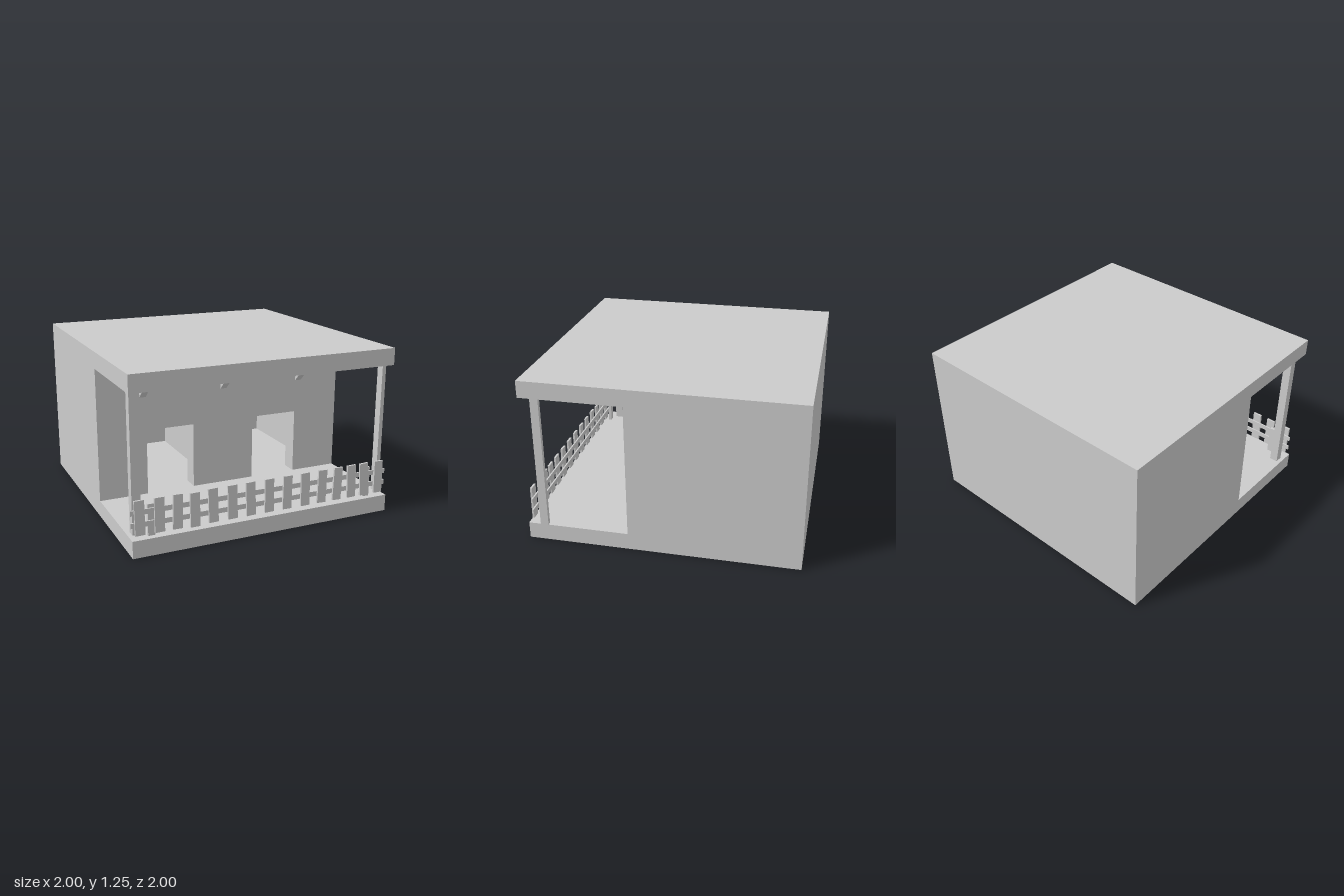
import * as THREE from 'three';

export function createModel() {
  const model = new THREE.Group();
  const material = new THREE.MeshStandardMaterial({ color: 0xcccccc, flatShading: true });

  const add = (name, geometry, parent = model) => {
    const mesh = new THREE.Mesh(geometry, material);
    mesh.name = name;
    parent.add(mesh);
    return mesh;
  };

  // Box given by its lower and upper limits on each axis
  const box = (name, [x0, x1], [y0, y1], [z0, z1], parent) => {
    const mesh = add(name, new THREE.BoxGeometry(x1 - x0, y1 - y0, z1 - z0), parent);
    mesh.position.set((x0 + x1) / 2, (y0 + y1) / 2, (z0 + z1) / 2);
    return mesh;
  };

  const T = 0.125; // slab and wall thickness
  const EAVE = 1.125; // underside of the roof
  const WALL_Z = 0.25; // front face of the house wall
  const storey = [T, EAVE];

  // Floor and flat roof
  box('floor', [-1, 1], [0, T], [-1, 1]);
  box('roof', [-1, 1], [EAVE, EAVE + T], [-1, 1]);

  // Outer walls and the partition between the two rooms
  box('backWall', [-1, 1], storey, [-1, -1 + T]);
  box('leftWall', [1 - T, 1], storey, [-1 + T, WALL_Z - T]);
  box('rightWall', [-1, -1 + T], storey, [-1 + T, WALL_Z - T]);
  box('partition', [-T / 2, T / 2], storey, [-1 + T, WALL_Z - T]);

  // Front wall with two doorways cut down to the floor
  const wall = new THREE.Shape();
  [
    [-1, EAVE], [-1, T],
    [-0.625, T], [-0.625, 0.625], [-0.25, 0.625], [-0.25, T],
    [0.25, T], [0.25, 0.625], [0.625, 0.625], [0.625, T],
    [1, T], [1, EAVE],
  ].forEach(([x, y], i) => (i ? wall.lineTo(x, y) : wall.moveTo(x, y)));
  add('frontWall', new THREE.ExtrudeGeometry(wall, { depth: T, bevelEnabled: false }))
    .position.z = WALL_Z - T;

  // Porch posts
  box('rightPorchPost', [-0.97, -0.907], storey, [0.85, 0.91]);
  box('leftPorchPost', [0.97, 1], storey, [0.85, 0.91]);

  // Diagonal braces from the wall to the roof, drawn in the z-y plane
  const brace = new THREE.Shape([
    [0.25, 0.88], [0.505, EAVE], [0.455, EAVE], [0.25, 0.925],
  ].map(([z, y]) => new THREE.Vector2(-z, y)));
  const braceGeometry = new THREE.ExtrudeGeometry(brace, { depth: 0.05, bevelEnabled: false });
  braceGeometry.translate(0, 0, -0.025).rotateY(Math.PI / 2);
  for (const x of [-0.65, 0, 0.65]) add('roofBrace', braceGeometry).position.x = x;

  // Picket fence: short posts, two rails and uneven boards
  const fence = new THREE.Group();
  fence.name = 'fence';
  model.add(fence);
  for (const x of [-0.85, 0.85]) {
    box('fencePost', [x - 0.025, x + 0.025], [T, 0.352], [0.932, 0.957], fence);
  }
  for (const y of [0.22, 0.308]) {
    box('fenceRail', [-1, 1], [y - 0.018, y + 0.018], [0.957, 0.968], fence);
  }
  // Each board: centre x, lean in radians
  const boards = [
    [-0.94, 0.02], [-0.8, 0.01], [-0.67, -0.02], [-0.545, 0.01], [-0.41, 0.03],
    [-0.265, 0.025], [-0.125, 0.045], [0.02, 0.015], [0.165, -0.015], [0.31, 0.02],
    [0.45, -0.03], [0.58, -0.04], [0.7, 0.03], [0.81, 0.05], [0.935, 0.01],
  ];
  boards.forEach(([x, lean], i) => {
    const picket = add('picket', new THREE.BoxGeometry(0.07, 0.248, 0.015), fence);
    picket.position.set(x, i === 3 ? 0.265 : 0.274, 0.976);
    picket.rotation.z = lean;
  });

  return model;
}
